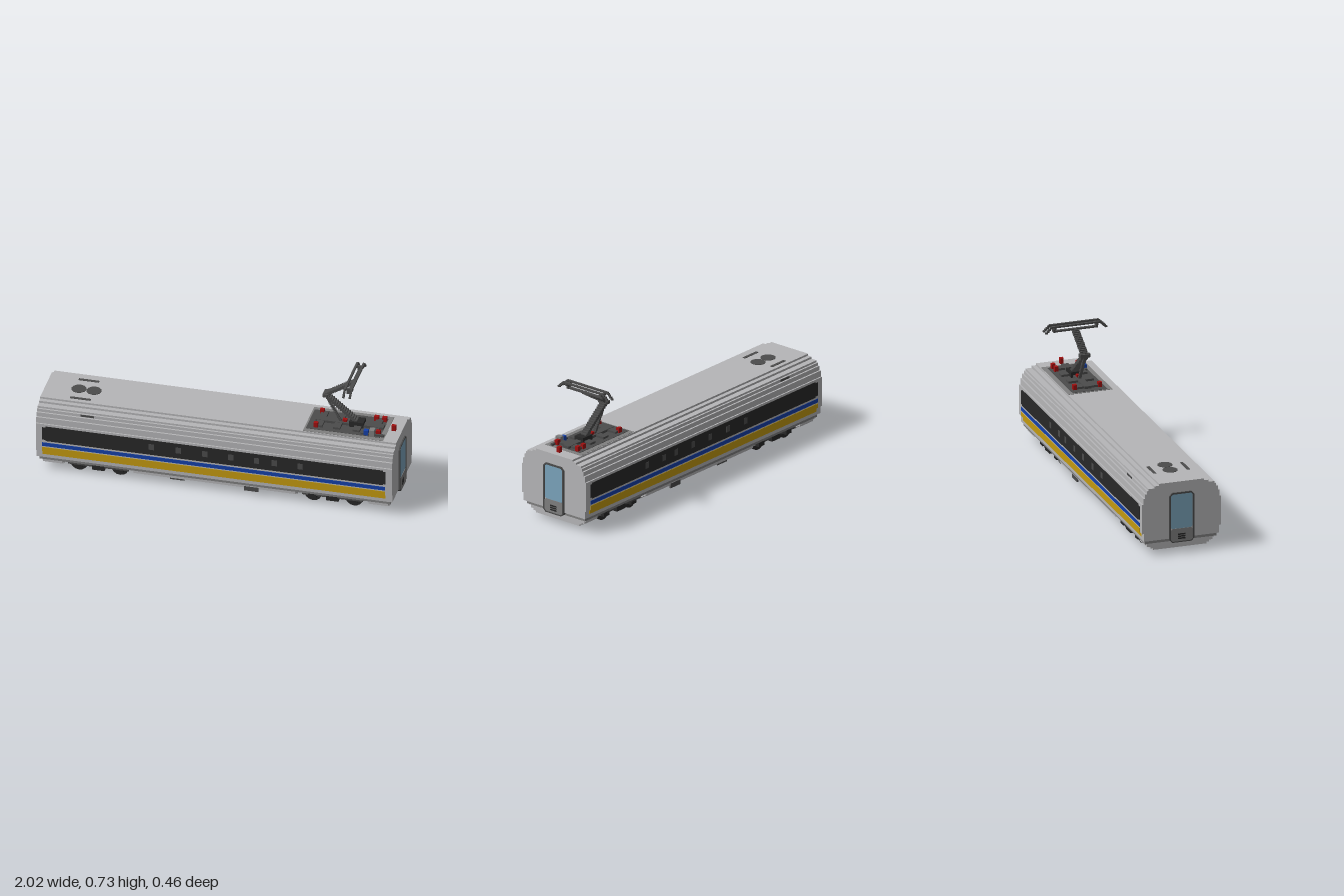
import * as THREE from 'three';

const material = (name, color, extra = {}) => {
  const m = new THREE.MeshStandardMaterial({ color, ...extra });
  m.name = name;
  return m;
};

export function createModel() {
  const root = new THREE.Group();
  root.name = 'railCar';
  const lightGrey = material('light grey', 0xb6b6b8);
  const midGrey = material('mid grey', 0x808080);
  const darkGrey = material('dark grey', 0x4c4c4c);
  const black = material('black', 0x282828);
  const yellow = material('yellow', 0xc49a10);
  const blue = material('blue', 0x1440a8);
  const red = material('red', 0xa01010);
  const glass = material('glass blue', 0x7ba4bc);

  const add = (name, geo, mat, parent = root) => {
    const mesh = new THREE.Mesh(geo, mat);
    mesh.name = name;
    parent.add(mesh);
    return mesh;
  };
  // box given by its minimum and maximum on each axis
  const box = (name, mat, x0, x1, y0, y1, z0, z1, parent = root) =>
    add(name, new THREE.BoxGeometry(x1 - x0, y1 - y0, z1 - z0)
      .translate((x0 + x1) / 2, (y0 + y1) / 2, (z0 + z1) / 2), mat, parent);
  const group = (name, parent = root) => {
    const g = new THREE.Group();
    g.name = name;
    parent.add(g);
    return g;
  };
  // stepped, mirrored cross-section swept along x; steps are [bottom y, half width]
  const stepped = (name, mat, steps, top, x0, x1) => {
    const right = [];
    steps.forEach(([y, w], i) => {
      const next = i + 1 < steps.length ? steps[i + 1][0] : top;
      right.push([w, y], [w, next]);
    });
    const outline = [...right, ...right.slice().reverse().map(([w, y]) => [-w, y])];
    const geo = new THREE.ExtrudeGeometry(
      new THREE.Shape(outline.map(([a, b]) => new THREE.Vector2(a, b))),
      { depth: x1 - x0, bevelEnabled: false });
    return add(name, geo.rotateY(Math.PI / 2).translate(x0, 0, 0), mat);
  };

  // body shell
  stepped('bodyShell', lightGrey, [
    [0.09, 0.218], [0.135, 0.228], [0.305, 0.22], [0.34, 0.21], [0.365, 0.2],
    [0.382, 0.19], [0.393, 0.155], [0.405, 0.13]], 0.416, -1, 1);
  stepped('sill', midGrey, [[0.07, 0.207]], 0.09, -0.985, 0.985);

  // skirts: centre tray and the two ends
  const skirt = [[0.025, 0.155], [0.035, 0.17], [0.045, 0.19], [0.06, 0.2]];
  for (const [name, x0, x1] of [['centreSkirt', -0.46, 0.45], ['endSkirt', -0.97, -0.86], ['endSkirt', 0.86, 0.97]])
    stepped(name, lightGrey, skirt, 0.072, x0, x1);

  // painted bands on both sides
  for (const s of [1, -1]) {
    const side = group('sideLivery');
    const plate = (name, mat, x0, x1, y0, y1, z, t = 0.002) =>
      box(name, mat, x0, x1, y0, y1, Math.min(s * (z - 0.002), s * (z + t)),
        Math.max(s * (z - 0.002), s * (z + t)), side);
    plate('windowBand', black, -0.945, 0.95, 0.2, 0.292, 0.228);
    plate('windowBandEnd', black, -0.965, -0.945, 0.207, 0.285, 0.228);
    plate('windowBandEnd', black, 0.95, 0.965, 0.207, 0.285, 0.228);
    plate('blueStripe', blue, -0.965, 0.962, 0.167, 0.189, 0.228);
    plate('yellowStripe', yellow, -0.965, 0.962, 0.135, 0.16, 0.228);
    plate('lowerYellowStripe', yellow, -0.965, 0.962, 0.11, 0.135, 0.218);
    for (const x of [-0.35, -0.2, -0.05, 0.095, 0.24, 0.34, 0.485])
      plate('windowSpot', darkGrey, x - 0.015, x + 0.015, 0.232, 0.268, 0.228, 0.003);
    plate('roofVent', darkGrey, -0.755, -0.68, 0.368, 0.38, 0.2);
  }

  // end doors
  for (const s of [1, -1]) {
    const door = group('endDoor');
    const panel = (hw, y0, y1, c) => {
      const p = [[-hw + c, y0], [hw - c, y0], [hw, y0 + c], [hw, y1 - c],
        [hw - c, y1], [-hw + c, y1], [-hw, y1 - c], [-hw, y0 + c]];
      return new THREE.Shape(p.map(([a, b]) => new THREE.Vector2(a, b)));
    };
    const slab = (name, mat, shape, x, depth) => {
      const g = new THREE.ExtrudeGeometry(shape, { depth, bevelEnabled: false });
      add(name, g.rotateY(s * Math.PI / 2).translate(s * x, 0, 0), mat, door);
    };
    const frame = panel(0.073, 0.066, 0.355, 0.018);
    frame.holes.push(panel(0.063, 0.072, 0.346, 0.01));
    slab('doorFrame', darkGrey, frame, 0.985, 0.023);
    slab('doorGlass', glass, panel(0.063, 0.145, 0.346, 0.008), 0.998, 0.005);
    slab('doorLowerPanel', midGrey, panel(0.064, 0.07, 0.145, 0.01), 0.985, 0.02);
    for (const y of [0.088, 0.1, 0.112])
      slab('doorGrille', black, panel(0.022, y - 0.004, y + 0.004, 0.001), 1.003, 0.004);
  }

  // bogies
  for (const cx of [-0.66, 0.655]) {
    const bogie = group('bogie');
    box('bolster', darkGrey, cx - 0.06, cx + 0.06, 0.035, 0.072, -0.15, 0.15, bogie);
    box('centreBeam', darkGrey, cx - 0.18, cx + 0.18, 0.045, 0.072, -0.04, 0.04, bogie);
    for (const s of [1, -1]) {
      box('sideFrame', darkGrey, cx - 0.17, cx + 0.17, 0.045, 0.07, s * 0.172 - 0.01, s * 0.172 + 0.01, bogie);
      box('spring', black, cx - 0.035, cx + 0.035, 0.03, 0.06, s * 0.17 - 0.018, s * 0.17 + 0.018, bogie);
    }
    for (const dx of [-0.115, 0.115]) {
      const x = cx + dx;
      add('axle', new THREE.CylinderGeometry(0.012, 0.012, 0.28, 8).rotateX(Math.PI / 2).translate(x, 0.048, 0), black, bogie);
      box('motor', darkGrey, x - 0.03, x + 0.03, 0.025, 0.07, -0.07, 0.07, bogie);
      for (const s of [1, -1]) {
        add('wheel', new THREE.CylinderGeometry(0.05, 0.05, 0.032, 16).rotateX(Math.PI / 2).translate(x, 0.05, s * 0.14), black, bogie);
        box('axleBox', black, x - 0.022, x + 0.022, 0.028, 0.068, s * 0.168 - 0.014, s * 0.168 + 0.014, bogie);
      }
    }
  }
  for (const s of [1, -1]) {
    box('underfloorVent', darkGrey, -0.26, -0.18, 0.026, 0.042, s * 0.17 - 0.003, s * 0.17 + 0.003);
    box('underfloorHatch', darkGrey, 0.16, 0.24, 0.028, 0.058, s * 0.188 - 0.005, s * 0.188 + 0.005);
  }

  // roof fittings
  const flatDisc = (x) => add('roofDisc', new THREE.CylinderGeometry(0.042, 0.042, 0.003, 12).translate(x, 0.417, 0), darkGrey);
  flatDisc(-0.815);
  flatDisc(-0.73);
  for (const z of [0.097, -0.097])
    box('roofSlot', darkGrey, -0.84, -0.725, 0.415, 0.418, z - 0.009, z + 0.009);
  box('roofTray', midGrey, 0.475, 0.925, 0.412, 0.418, -0.127, 0.127);
  box('roofTrayCentre', darkGrey, 0.485, 0.9, 0.417, 0.42, -0.1, 0.1);

  // current collector
  const collector = group('currentCollector');
  const arm = (name, x0, y0, x1, y1, width, thick, steps) => {
    for (let i = 0; i <= steps; i++) {
      const x = x0 + (x1 - x0) * i / steps, y = y0 + (y1 - y0) * i / steps;
      box(name, darkGrey, x - thick, x + thick, y - thick, y + thick, -width, width, collector);
    }
  };
  box('baseBeam', darkGrey, 0.52, 0.9, 0.42, 0.434, -0.02, 0.02, collector);
  for (const x of [0.55, 0.65, 0.76, 0.86])
    box('crossBeam', darkGrey, x - 0.02, x + 0.02, 0.42, 0.432, -0.075, 0.075, collector);
  box('pivotBlock', black, 0.71, 0.79, 0.42, 0.452, -0.03, 0.03, collector);
  arm('lowerArm', 0.755, 0.44, 0.575, 0.59, 0.02, 0.009, 16);
  arm('controlRod', 0.66, 0.43, 0.575, 0.58, 0.008, 0.006, 16);
  box('knee', darkGrey, 0.56, 0.59, 0.586, 0.604, -0.03, 0.03, collector);
  arm('upperArm', 0.58, 0.6, 0.73, 0.692, 0.02, 0.008, 14);
  box('headBar', darkGrey, 0.723, 0.741, 0.69, 0.699, -0.125, 0.125, collector);
  for (const x of [0.714, 0.75]) {
    box('contactStrip', darkGrey, x - 0.006, x + 0.006, 0.72, 0.73, -0.145, 0.145, collector);
    for (const s of [1, -1])
      for (let i = 0; i < 4; i++) {
        const z = s * (0.145 + i * 0.009), y = 0.72 - i * 0.0085;
        box('horn', darkGrey, x - 0.006, x + 0.006, y - 0.004, y + 0.005, z - 0.007, z + 0.007, collector);
      }
  }
  for (const s of [1, -1]) {
    box('headEnd', darkGrey, 0.708, 0.756, 0.71, 0.722, s * 0.122 - 0.006, s * 0.122 + 0.006, collector);
    box('headPost', darkGrey, 0.72, 0.744, 0.69, 0.722, s * 0.122 - 0.006, s * 0.122 + 0.006, collector);
  }

  // insulators and roof electrics
  for (const [x, z] of [[0.535, 0.072], [0.535, -0.072], [0.68, 0], [0.84, -0.072], [0.885, 0.072], [0.885, -0.072], [0.955, 0]])
    box('insulator', red, x - 0.012, x + 0.012, 0.414, 0.448, z - 0.01, z + 0.01);
  box('blueInsulator', blue, 0.808, 0.832, 0.416, 0.448, 0.072, 0.096);
  box('switchBox', midGrey, 0.84, 0.868, 0.416, 0.457, 0.066, 0.102);
  box('cableDuct', darkGrey, 0.79, 0.92, 0.418, 0.43, 0.078, 0.092);

  return root;
}
